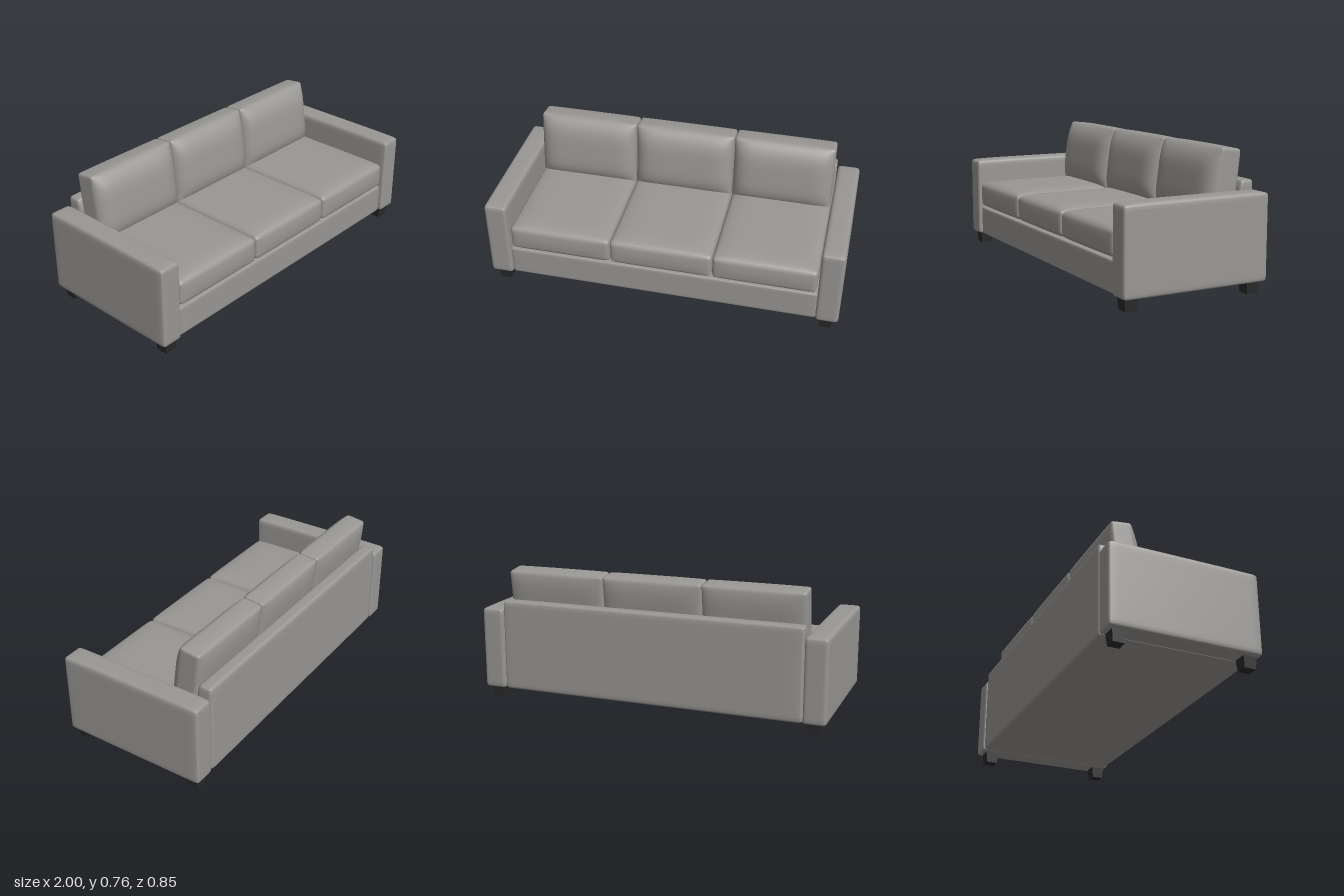
import * as THREE from 'three';
import { mergeVertices } from 'three/addons/utils/BufferGeometryUtils.js';

const fabric = new THREE.MeshStandardMaterial({ color: 0x999794 });
fabric.name = 'grey upholstery';
const darkWood = new THREE.MeshStandardMaterial({ color: 0x2b2a2a });
darkWood.name = 'dark wood';

// Smooth box with rounded edges; deform(p, u, v, w) shapes it further,
// where u, v, w run from -1 to 1 across the box.
function softBox(w, h, d, r, n, deform) {
  const half = new THREE.Vector3(w / 2, h / 2, d / 2);
  const raw = new THREE.BoxGeometry(2, 2, 2, n, n, n);
  raw.deleteAttribute('normal');
  raw.deleteAttribute('uv');
  const geo = mergeVertices(raw);
  const pos = geo.attributes.position;
  const p = new THREE.Vector3();
  const inner = new THREE.Vector3();
  const limit = half.clone().subScalar(r);
  const ease = (t) => Math.sin((t * Math.PI) / 2); // denser rows near the edges
  for (let i = 0; i < pos.count; i++) {
    p.fromBufferAttribute(pos, i);
    p.set(ease(p.x), ease(p.y), ease(p.z)).multiply(half);
    inner.copy(p).clamp(limit.clone().negate(), limit);
    p.sub(inner).normalize().multiplyScalar(r).add(inner);
    if (deform) deform(p, p.x / half.x, p.y / half.y, p.z / half.z);
    pos.setXYZ(i, p.x, p.y, p.z);
  }
  geo.computeVertexNormals();
  return geo;
}

const dome = (a, b, ea, eb) =>
  Math.max(0, 1 - Math.abs(a) ** ea) * Math.max(0, 1 - Math.abs(b) ** eb);

export function createModel() {
  const sofa = new THREE.Group();
  sofa.name = 'sofa';
  const add = (name, geo, mat, x, y, z) => {
    const mesh = new THREE.Mesh(geo, mat);
    mesh.name = name;
    mesh.position.set(x, y, z);
    sofa.add(mesh);
  };

  // Frame: seat base and backrest between the arms
  add('seatBase', softBox(1.75, 0.172, 0.81, 0.012, 14), fabric, 0, 0.151, 0);
  const back = softBox(1.738, 0.516, 0.09, 0.02, 18, (p, u, v, w) => {
    if (w > 0) p.z -= 0.012 * Math.max(0, v - 0.8) * 5; // front leans back at the top
  });
  add('backrest', back, fabric, 0, 0.323, -0.375);

  // Arms with a softly crowned top
  const arm = softBox(0.128, 0.465, 0.845, 0.02, 18, (p, u, v, w) => {
    if (v > 0) p.y += 0.006 * v * dome(u, w, 4, 6);
  });
  for (const side of [-1, 1]) {
    add(side > 0 ? 'leftArm' : 'rightArm', arm, fabric, side * 0.936, 0.2965, 0);
  }

  // Seat cushions, crowned on top, slightly full below and in front
  const seat = softBox(0.574, 0.14, 0.735, 0.022, 28, (p, u, v, w) => {
    p.y += (v > 0 ? 0.022 : 0.014) * v * dome(u, w, 6, 8);
    if (w > 0) p.z += 0.008 * w * dome(u, v, 6, 2);
  });

  // Back cushions, leaning back with a full front and a gentler rear
  const pillow = softBox(0.57, 0.38, 0.115, 0.014, 28, (p, u, v, w) => {
    const y = p.y;
    p.y += p.z * 0.13;
    if (v > 0) p.y += 0.006 * v * dome(u, w, 4, 2);
    p.z += (w > 0 ? 0.054 : 0.02) * w * dome(u, v, 8, 4) - y * 0.13;
  });
  ['right', 'middle', 'left'].forEach((label, i) => {
    const x = (i - 1) * 0.577;
    add(label + 'SeatCushion', seat, fabric, x, 0.319, 0.042);
    add(label + 'BackCushion', pillow, fabric, x * 0.995, 0.557, -0.262);
  });

  // Tapered square feet
  const foot = new THREE.CylinderGeometry(0.039 * Math.SQRT2, 0.032 * Math.SQRT2, 0.066, 4, 1);
  foot.rotateY(Math.PI / 4);
  const flatFoot = foot.toNonIndexed();
  flatFoot.computeVertexNormals();
  for (const x of [-0.93, 0.93]) {
    for (const z of [-0.355, 0.363]) {
      add((z > 0 ? 'front' : 'back') + (x > 0 ? 'Left' : 'Right') + 'Foot', flatFoot, darkWood, x, 0.033, z);
    }
  }
  return sofa;
}
